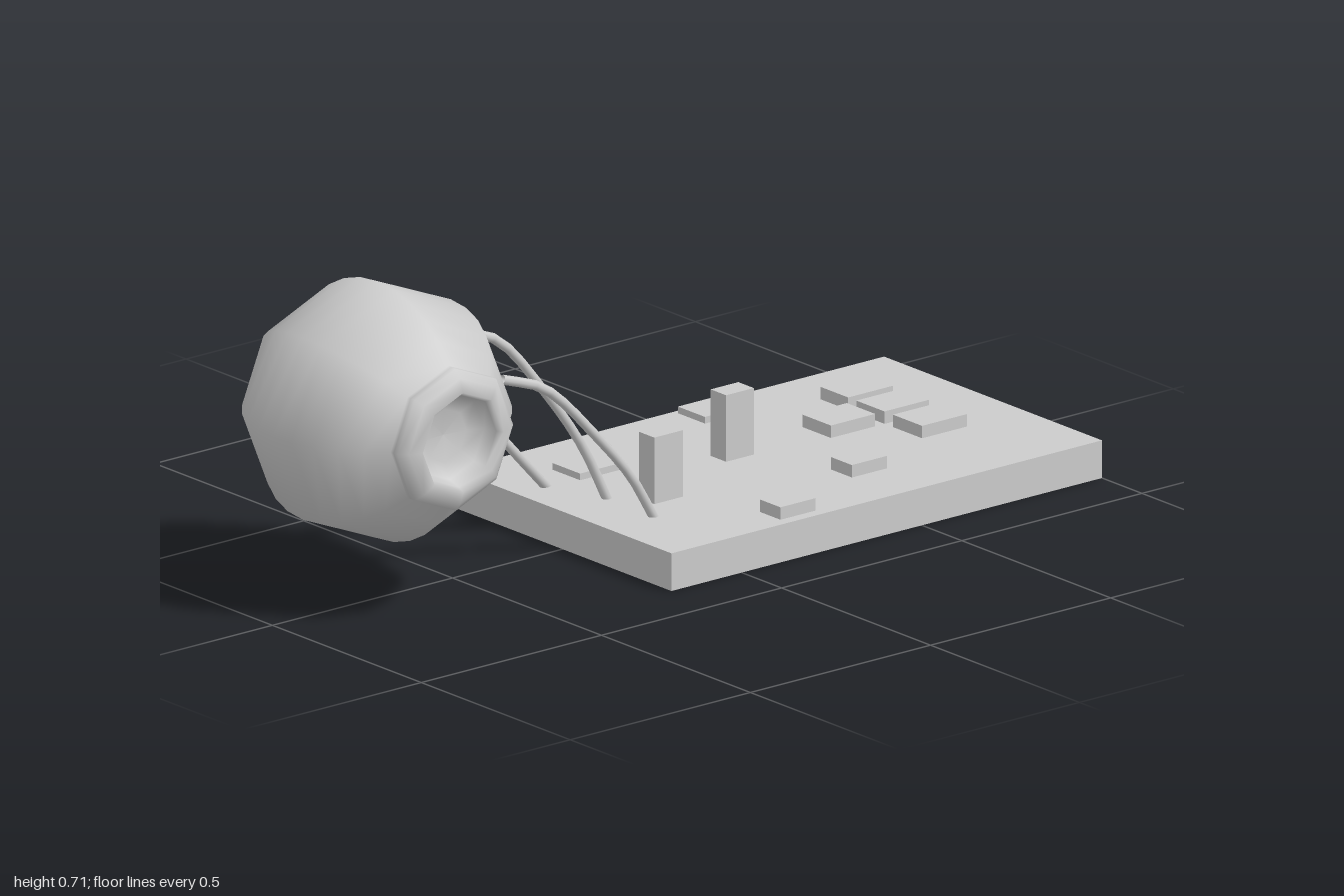
import * as THREE from 'three';

const material = new THREE.MeshStandardMaterial({ color: 0xcccccc, side: THREE.DoubleSide });

function add(group, name, geometry, x = 0, y = 0, z = 0) {
  const mesh = new THREE.Mesh(geometry, material);
  mesh.name = name;
  mesh.position.set(x, y, z);
  group.add(mesh);
  return mesh;
}

// Box given by its x and z ranges, standing between two heights
function slab(group, name, x0, x1, z0, z1, y0, y1) {
  add(group, name, new THREE.BoxGeometry(x1 - x0, y1 - y0, z1 - z0),
    (x0 + x1) / 2, (y0 + y1) / 2, (z0 + z1) / 2);
}

export function createModel() {
  const model = new THREE.Group();
  model.name = 'eyeballOnCircuitBoard';
  const boardTop = 0.085;

  // Eight-sided ball with fine rings, a raised rim and a hollow at the front
  const radius = 0.29;
  const profile = [];
  for (let i = 0; i <= 13; i++) {
    const a = (i / 16) * Math.PI;
    profile.push(new THREE.Vector2(radius * Math.sin(a), -radius * Math.cos(a)));
  }
  for (const [r, z] of [[0.16, 0.25], [0.16, 0.264], [0.142, 0.28], [0.112, 0.29],
    [0.104, 0.275], [0.095, 0.245], [0.06, 0.228], [0, 0.222]]) {
    profile.push(new THREE.Vector2(r, z));
  }
  const ball = add(model, 'eyeball', new THREE.LatheGeometry(profile, 8), -0.71, 0.425, 0);
  ball.rotation.x = Math.PI / 2;

  // Circuit board
  slab(model, 'board', -0.195, 1, -0.366, 0.366, 0, boardTop);

  // Chips and towers: x range, z range, top height
  const parts = [
    ['thinChip', 0.417, 0.535, -0.353, -0.262, 0.1],
    ['thinChip', -0.032, 0.087, -0.231, -0.138, 0.1],
    ['chip', 0.712, 0.836, -0.231, -0.138, 0.113],
    ['chip', 0.712, 0.836, -0.111, -0.016, 0.113],
    ['chip', 0.563, 0.686, -0.111, -0.016, 0.113],
    ['chip', 0.712, 0.836, 0.012, 0.11, 0.113],
    ['smallChip', 0.428, 0.525, 0.148, 0.218, 0.113],
    ['smallChip', 0.129, 0.226, 0.271, 0.34, 0.113],
    ['tower', 0.288, 0.365, -0.087, -0.035, 0.235],
    ['tower', -0.012, 0.068, 0.035, 0.087, 0.235],
  ];
  for (const [name, x0, x1, z0, z1, top] of parts) {
    slab(model, name, x0, x1, z0, z1, boardTop, top);
  }

  // Wires arching from the ball down to the board
  const wires = {
    middleWire: [[-0.48, 0.548, -0.01], [-0.366, 0.505, -0.013], [-0.233, 0.36, -0.015],
      [-0.125, 0.21, -0.015], [-0.062, 0.08, -0.01]],
    frontWire: [[-0.49, 0.485, 0.153], [-0.366, 0.436, 0.148], [-0.22, 0.295, 0.148],
      [-0.125, 0.185, 0.147], [-0.062, 0.08, 0.147]],
    rearWire: [[-0.45, 0.4, -0.127], [-0.355, 0.345, -0.131], [-0.26, 0.235, -0.132],
      [-0.19, 0.16, -0.137], [-0.108, 0.08, -0.157]],
  };
  for (const [name, points] of Object.entries(wires)) {
    const curve = new THREE.CatmullRomCurve3(points.map((p) => new THREE.Vector3(...p)));
    add(model, name, new THREE.TubeGeometry(curve, 12, 0.011, 8, false));
  }

  return model;
}
